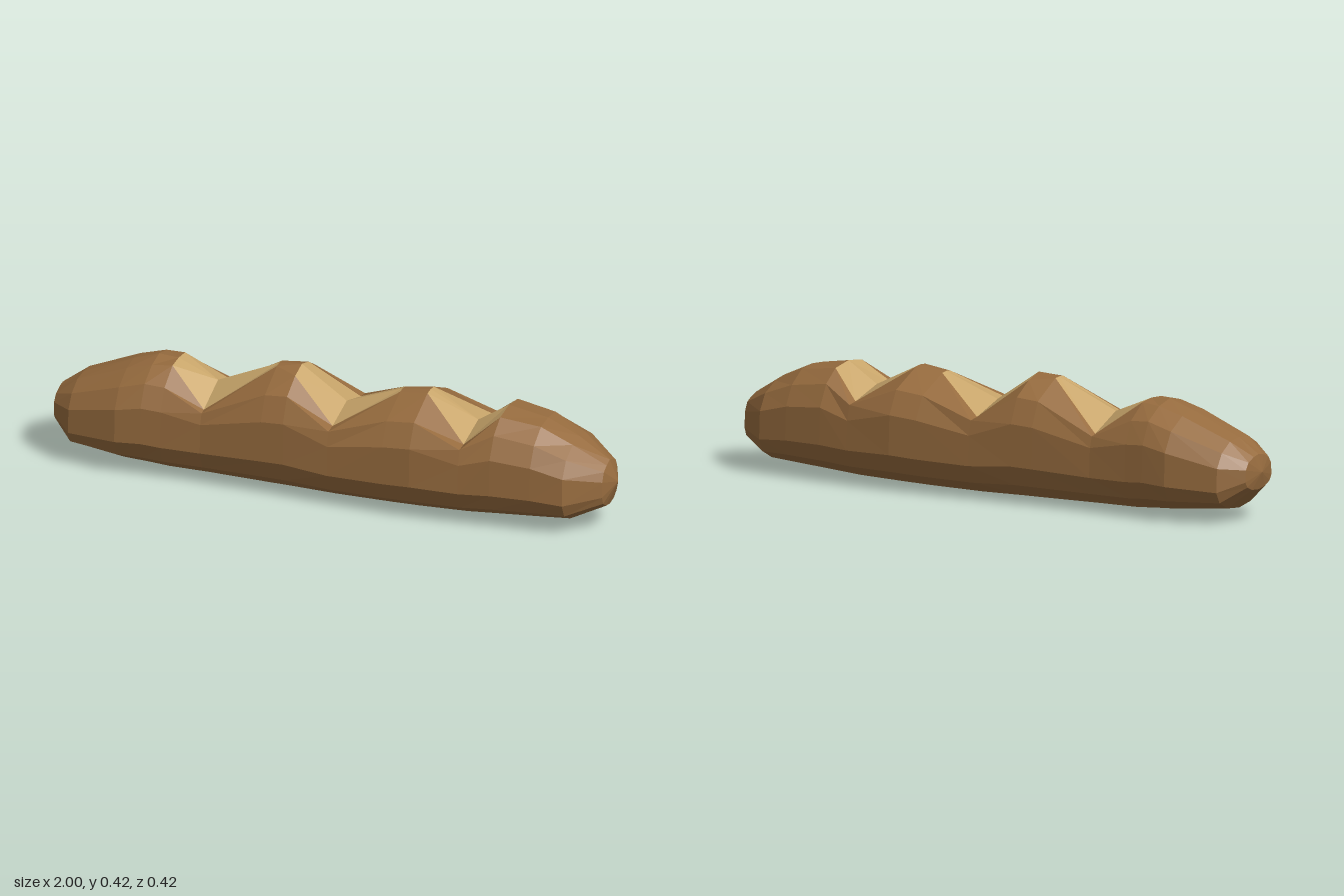
import * as THREE from 'three';

// Stations along the loaf: x, half width, bottom y, ridge y, rim half width, rim y
const STATIONS = [
  [-0.985, 0.085, 0.115, 0.235, 0.03, 0.23],
  [-0.91, 0.15, 0.045, 0.285, 0.06, 0.28],
  [-0.73, 0.19, 0.025, 0.36, 0.07, 0.35],
  [-0.64, 0.185, 0.018, 0.39, 0.07, 0.375],
  [-0.57, 0.18, 0.012, 0.385, 0.06, 0.38],
  [-0.43, 0.175, 0.01, 0.325, 0.135, 0.27],
  [-0.21, 0.185, 0.006, 0.42, 0.025, 0.418],
  [-0.13, 0.188, 0.005, 0.428, 0.065, 0.41],
  [0.03, 0.195, 0.004, 0.318, 0.135, 0.28],
  [0.23, 0.205, 0.006, 0.393, 0.025, 0.39],
  [0.33, 0.21, 0.008, 0.405, 0.03, 0.402],
  [0.5, 0.2, 0.012, 0.32, 0.14, 0.285],
  [0.61, 0.193, 0.019, 0.39, 0.085, 0.378],
  [0.75, 0.18, 0.028, 0.365, 0.07, 0.358],
  [0.86, 0.165, 0.036, 0.315, 0.06, 0.305],
  [0.97, 0.075, 0.085, 0.245, 0.03, 0.235],
];
const VALLEYS = [5, 8, 11]; // stations at the bottom of each slash

// Closed cross-section: bottom, up the +z side, over the ridge, down the -z side
function makeRing([x, w, b, t, r, ry], i) {
  const cut = VALLEYS.includes(i);
  const h = (cut ? 0.385 : t) - b;
  const side = [
    [0.5 * w, b + 0.04 * h],
    [0.86 * w, b + 0.15 * h],
    [w, b + 0.31 * h],
    [0.97 * w, b + (cut ? 0.58 : 0.65) * h],
    cut ? [0.9 * w, ry - 0.005] : [0.76 * w, b + 0.85 * h],
    [r, ry],
  ];
  return [
    [x, b, 0],
    ...side.map(([z, y]) => [x, y, z]),
    [x, t, 0],
    ...side.reverse().map(([z, y]) => [x, y, -z]),
  ];
}

function makeMesh(name, points, color) {
  const geometry = new THREE.BufferGeometry();
  geometry.setAttribute('position', new THREE.Float32BufferAttribute(points.flat(), 3));
  geometry.computeVertexNormals();
  const mesh = new THREE.Mesh(geometry, new THREE.MeshStandardMaterial({ color, flatShading: true }));
  mesh.name = name;
  return mesh;
}

export function createModel() {
  const rings = STATIONS.map(makeRing);
  const n = rings[0].length;
  const top = n / 2;
  const crust = [];
  const slashes = [];

  // Skin between neighbouring stations; panels beside the ridge in a slash are crumb
  for (let i = 0; i < rings.length - 1; i++) {
    const inSlash = VALLEYS.includes(i) || VALLEYS.includes(i + 1);
    for (let j = 0; j < n; j++) {
      const k = (j + 1) % n;
      const a = rings[i][j], b = rings[i + 1][j], c = rings[i + 1][k], d = rings[i][k];
      const target = inSlash && (j === top - 1 || j === top) ? slashes : crust;
      // Mirror the diagonal on the -z side
      if (j < top) target.push(a, b, c, a, c, d);
      else target.push(a, b, d, b, c, d);
    }
  }

  // Blunt tips
  const first = rings[0], last = rings[rings.length - 1];
  for (let j = 0; j < n; j++) {
    const k = (j + 1) % n;
    crust.push([-1, 0.175, 0], first[j], first[k]);
    crust.push([1, 0.17, 0], last[k], last[j]);
  }

  const group = new THREE.Group();
  group.name = 'breadLoaf';
  group.add(makeMesh('crust', crust, 0x966b3e), makeMesh('slashes', slashes, 0xc8a56a));
  return group;
}
